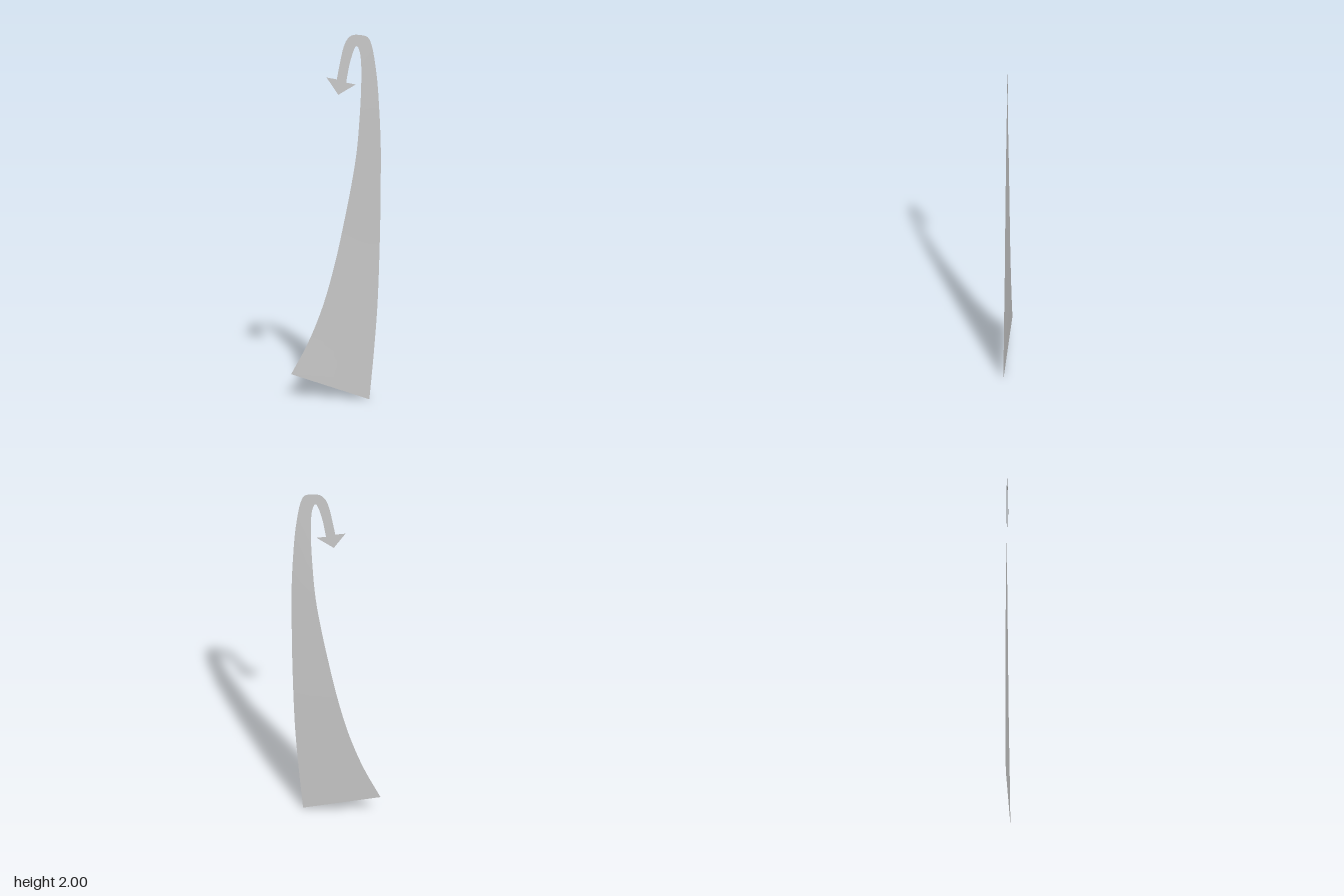
import * as THREE from 'three';

const material = new THREE.MeshStandardMaterial({ color: 0xcccccc, side: THREE.DoubleSide });

// Cross-sections from the wide foot to the hooked tip:
// outer x, y, z, inner x, y, z
const sections = [
  [0.18, 0.0, 0.02, -0.24, 0.122, -0.022],
  [0.204, 0.26, 0.018, -0.148, 0.3, -0.019],
  [0.222, 0.5, 0.015, -0.069, 0.505, -0.016],
  [0.232, 0.75, 0.012, -0.005, 0.74, -0.013],
  [0.238, 1.0, 0.01, 0.044, 0.97, -0.011],
  [0.24, 1.2, 0.008, 0.084, 1.18, -0.009],
  [0.24, 1.4, 0.006, 0.111, 1.357, -0.007],
  [0.23, 1.63, 0.003, 0.127, 1.55, -0.004],
  [0.217, 1.79, 0.001, 0.135, 1.71, -0.002],
  [0.19, 1.95, 0, 0.135, 1.845, 0],
  [0.17, 1.99, 0, 0.127, 1.91, 0],
  [0.14, 2.0, 0, 0.115, 1.938, 0],
  [0.09, 2.0, 0, 0.107, 1.938, 0],
  [0.063, 1.98, 0, 0.095, 1.915, 0],
  [0.042, 1.935, 0, 0.087, 1.89, 0],
  [0.017, 1.82, 0, 0.072, 1.835, 0],
  [0.005, 1.755, 0, 0.055, 1.738, 0],
];

// Smooth ribbon stretched between the two edge curves
function ribbon(steps) {
  const edge = (o) => new THREE.CatmullRomCurve3(
    sections.map((s) => new THREE.Vector3(s[o], s[o + 1], s[o + 2])), false, 'centripetal');
  const outer = edge(0), inner = edge(3);
  const points = [], index = [];
  for (let i = 0; i <= steps; i++) {
    points.push(outer.getPoint(i / steps), inner.getPoint(i / steps));
    if (i < steps) {
      const a = i * 2;
      index.push(a, a + 2, a + 1, a + 1, a + 2, a + 3);
    }
  }
  const geometry = new THREE.BufferGeometry().setFromPoints(points);
  geometry.setIndex(index);
  geometry.computeVertexNormals();
  return geometry;
}

export function createModel() {
  const group = new THREE.Group();
  group.name = 'curvedArrow';

  const shaft = new THREE.Mesh(ribbon(64), material);
  shaft.name = 'arrowShaft';
  group.add(shaft);

  // Flat head with barbs on both sides of the shaft
  const head = new THREE.Shape([
    [-0.05, 1.765], [0.013, 1.67], [0.106, 1.728], [0.055, 1.738], [0.005, 1.755],
  ].map(([x, y]) => new THREE.Vector2(x, y)));
  const arrowHead = new THREE.Mesh(new THREE.ShapeGeometry(head), material);
  arrowHead.name = 'arrowHead';
  group.add(arrowHead);

  return group;
}
